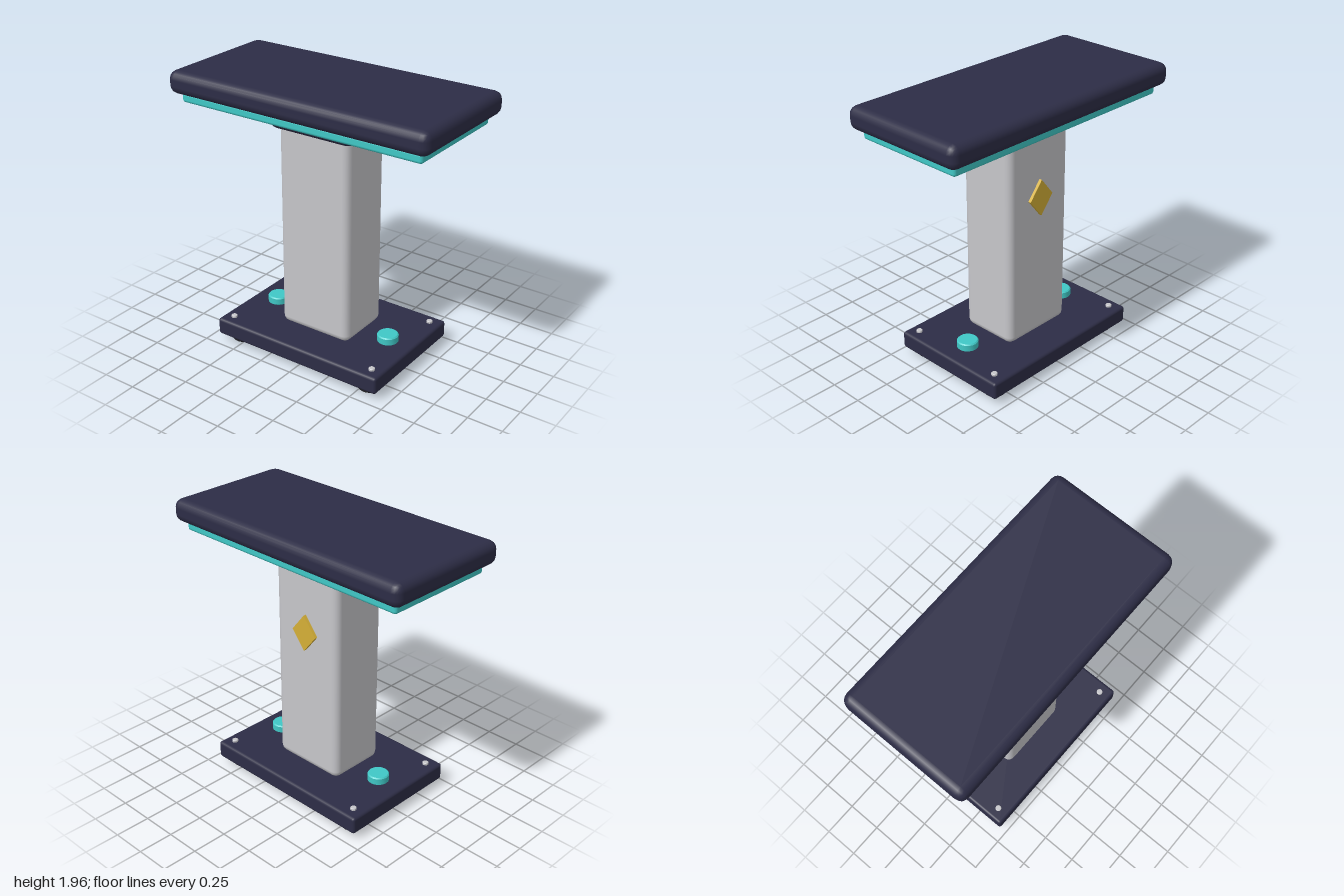
import * as THREE from 'three';
import { RoundedBoxGeometry } from 'three/addons/geometries/RoundedBoxGeometry.js';
import { toCreasedNormals } from 'three/addons/utils/BufferGeometryUtils.js';

const paint = (name, color) => {
  const m = new THREE.MeshStandardMaterial({ color });
  m.name = name;
  return m;
};

export function createModel() {
  const navy = paint('navy', 0x2d2d46);
  const teal = paint('teal', 0x40c8c6);
  const grey = paint('lightGrey', 0xc6c6ca);
  const gold = paint('gold', 0xd4af37);
  const rubber = paint('blackRubber', 0x1f1f23);

  const model = new THREE.Group();
  model.name = 'pedestalTable';

  const add = (name, geometry, material, x = 0, y = 0, z = 0) => {
    const mesh = new THREE.Mesh(geometry, material);
    mesh.name = name;
    mesh.position.set(x, y, z);
    model.add(mesh);
    return mesh;
  };

  // Rounded block standing between two heights
  const block = (name, material, w, d, y0, y1, radius, segments = 2) =>
    add(name, new RoundedBoxGeometry(w, y1 - y0, d, segments, radius), material, 0, (y0 + y1) / 2, 0);

  // Short disc with a small bevel on both rims, base at y = 0
  const disc = (r, h, bevel, sides) => toCreasedNormals(new THREE.LatheGeometry([
    [0, 0], [r - bevel, 0], [r, bevel], [r, h - bevel], [r - bevel, h], [0, h],
  ].map(([x, y]) => new THREE.Vector2(x, y)), sides), 0.6);

  // Base, column and top
  block('basePlate', navy, 1.34, 0.91, 0.05, 0.175, 0.02);
  block('column', grey, 0.56, 0.43, 0.175, 1.69, 0.05);
  block('collar', navy, 0.645, 0.52, 1.64, 1.738, 0.045);
  block('trimBoard', teal, 1.864, 0.82, 1.735, 1.803, 0.02);
  block('topSlab', navy, 2, 0.95, 1.8, 1.96, 0.058);

  // Feet and bolts at the four corners
  const footGeometry = disc(0.075, 0.055, 0.006, 20);
  const boltGeometry = disc(0.022, 0.022, 0.004, 10);
  for (const sx of [-1, 1]) {
    for (const sz of [-1, 1]) {
      add('foot', footGeometry, rubber, sx * 0.545, 0, sz * 0.33);
      add('bolt', boltGeometry, grey, sx * 0.588, 0.17, sz * 0.37);
    }
  }

  // Buttons either side of the column
  const buttonGeometry = disc(0.075, 0.06, 0.008, 20);
  for (const sx of [-1, 1]) add('button', buttonGeometry, teal, sx * 0.475, 0.17, 0);

  // Diamond plaque on the back of the column
  const diamond = new THREE.Shape([[0, -0.13], [0.105, 0], [0, 0.13], [-0.105, 0]]
    .map(([x, y]) => new THREE.Vector2(x, y)));
  add('diamondPlaque', new THREE.ExtrudeGeometry(diamond, { depth: 0.025, bevelEnabled: false }),
    gold, 0, 1.22, -0.236);

  return model;
}
